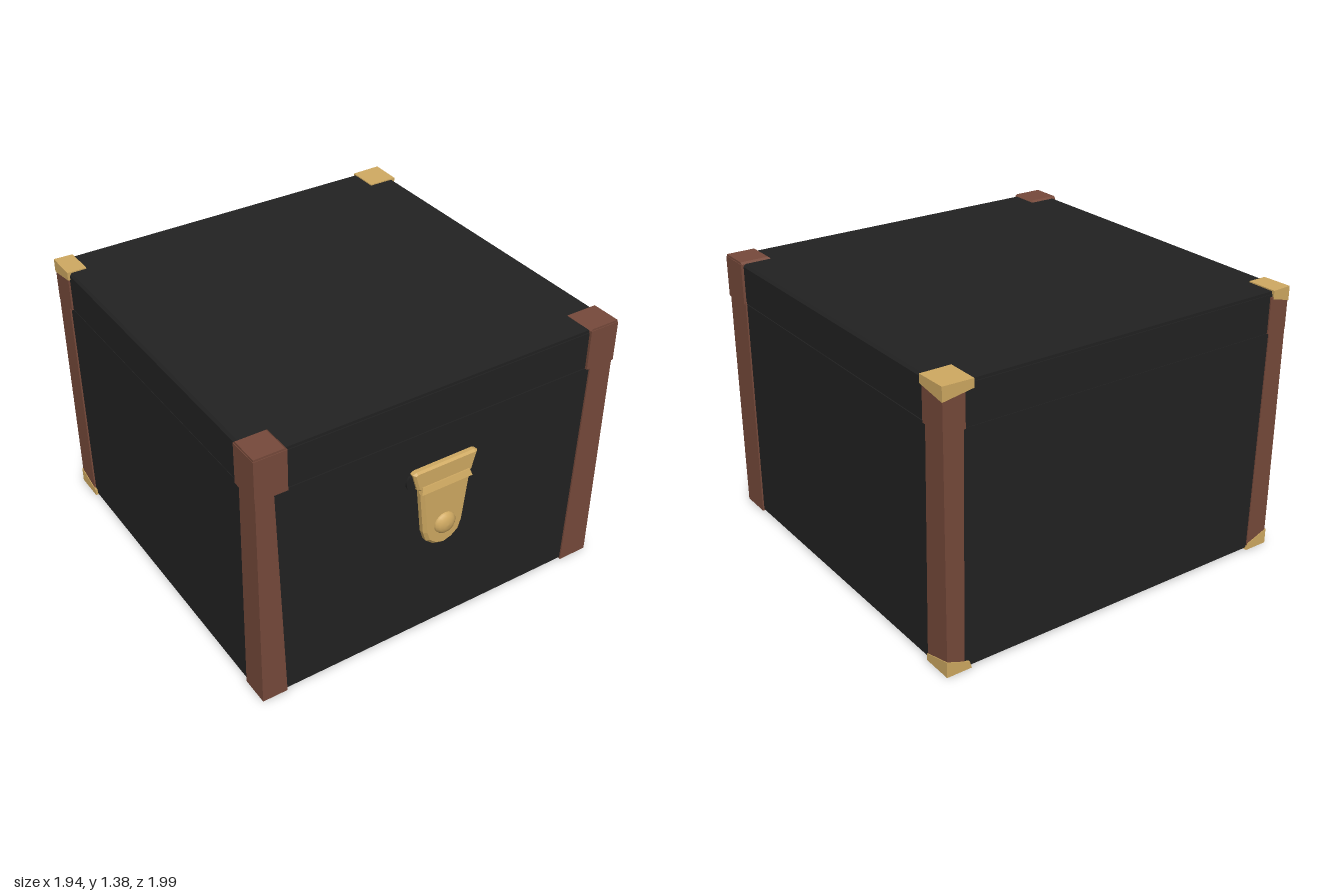
import * as THREE from 'three';

const mat = (name, color) => {
  const m = new THREE.MeshStandardMaterial({ color });
  m.name = name;
  return m;
};

export function createModel() {
  const root = new THREE.Group();
  root.name = 'trunk';
  const black = mat('black covering', 0x222222);
  const brown = mat('brown leather', 0x774a3b);
  const brass = mat('brass', 0xd0aa62);

  const add = (name, geometry, material, parent = root) => {
    const mesh = new THREE.Mesh(geometry, material);
    mesh.name = name;
    parent.add(mesh);
    return mesh;
  };

  // Box whose corners are moved by a rule(v) working on -1 / +1 coordinates
  const ruledBox = (rule) => {
    const g = new THREE.BoxGeometry(2, 2, 2);
    const p = g.attributes.position;
    const v = new THREE.Vector3();
    for (let i = 0; i < p.count; i++) {
      v.fromBufferAttribute(p, i);
      p.setXYZ(i, ...rule(v.x, v.y, v.z));
    }
    g.computeVertexNormals();
    return g;
  };

  // Case: lower body, recessed seam and lid
  const slab = (y0, y1, x0, x1, zf, zb) => ruledBox((x, y, z) =>
    [x * (y < 0 ? x0 : x1), y < 0 ? y0 : y1, z > 0 ? zf : -zb]);
  add('body', slab(0.01, 1.168, 0.955, 0.955, 0.93, 0.982), black);
  add('seam', slab(1.16, 1.18, 0.95, 0.95, 0.926, 0.979), black);
  add('lid', slab(1.172, 1.362, 0.955, 0.955, 0.93, 0.982), black);
  add('lidTop', slab(1.362, 1.376, 0.955, 0.945, 0.926, 0.978), black);

  // Corner block: outer faces at ox, oz; widths [bottom, top] run inward.
  // lift moves the inner edges of the chosen end up or down.
  const corner = (sx, sz, out, y0, y1, wx, wz, liftLow = 0, liftHigh = 0) => ruledBox((x, y, z) => {
    const k = y < 0 ? 0 : 1;
    const ox = sx * (0.957 + out), oz = sz > 0 ? 0.932 + out : -(0.982 + out);
    const innerX = x !== sx, innerZ = z !== sz;
    const lift = innerX || innerZ ? (k ? liftHigh : liftLow) : 0;
    return [innerX ? ox - sx * wx[k] : ox, (k ? y1 : y0) + lift, innerZ ? oz - sz * wz[k] : oz];
  });

  // Edge strip widths at each corner [bottom, top], along x and z
  const corners = [
    { name: 'frontRight', sx: -1, sz: 1, wx: [0.13, 0.09], wz: [0.15, 0.13], cap: [0.16, 0.16] },
    { name: 'frontLeft', sx: 1, sz: 1, wx: [0.16, 0.13], wz: [0.165, 0.165], cap: [0.16, 0.165] },
    { name: 'backRight', sx: -1, sz: -1, wx: [0.12, 0.1], wz: [0.14, 0.12], cap: [0.1, 0.16] },
    { name: 'backLeft', sx: 1, sz: -1, wx: [0.09, 0.1], wz: [0.155, 0.13], cap: [0.155, 0.165] },
  ];
  for (const { name, sx, sz, wx, wz, cap } of corners) {
    const g = new THREE.Group();
    g.name = name + 'Corner';
    root.add(g);
    const [cx, cz] = cap;
    add('edgeStrip', corner(sx, sz, 0.006, 0.002, 1.18, wx, wz), brown, g);
    if (sz > 0) {
      add('cap', corner(sx, sz, 0.011, 1.168, 1.375, [cx, cx], [cz, cz]), brown, g);
      add('capTop', corner(sx, sz, 0.008, 1.375, 1.385, [cx, cx - 0.012], [cz, cz - 0.012]), brown, g);
    } else {
      // Back corners carry brass plates above and below the leather
      add('cap', corner(sx, sz, 0.007, 1.168, 1.35, [0.11, 0.11], [0.15, 0.15]), brown, g);
      add('brassTop', corner(sx, sz, 0.01, 1.315, 1.385, [cx, cx], [cz, cz], 0.025, -0.003), brass, g);
      add('brassFoot', corner(sx, sz, 0.01, 0, 0.08, [0.13, 0.12], [0.16, 0.16], 0, -0.045), brass, g);
    }
  }

  // Latch
  const latch = new THREE.Group();
  latch.name = 'latch';
  root.add(latch);
  const plate = (points, depth, bevel) => {
    const g = new THREE.ExtrudeGeometry(new THREE.Shape(points.map(([x, y]) => new THREE.Vector2(x, y))), {
      depth, bevelEnabled: true, bevelThickness: bevel, bevelSize: bevel, bevelOffset: -bevel, bevelSegments: 1,
    });
    return g;
  };
  const mirrored = (half) => [...half, ...half.slice().reverse().filter(([x]) => x > 0).map(([x, y]) => [-x, y])];

  add('tongue', plate(mirrored([[0, 0.515], [0.05, 0.53], [0.092, 0.565], [0.11, 0.62], [0.138, 0.87]]),
    0.025, 0.015), brass, latch).position.z = 0.93;
  add('hinge', plate(mirrored([[0.115, 0.86], [0.15, 0.88], [0.178, 0.975], [0.16, 0.985]]),
    0.02, 0.01), brass, latch).position.z = 0.93;
  add('hingeLip', ruledBox((x, y, z) =>
    [x * (y > 0 ? 0.13 : 0.14), y > 0 ? 0.895 : 0.862, z < 0 ? 0.95 : y > 0 ? 0.966 : 0.976]), brass, latch);

  // Dark ears at both ends of the hinge
  for (const s of [-1, 1]) {
    const ear = add('hingeEar', new THREE.CylinderGeometry(0.03, 0.03, 0.012, 10), black, latch);
    ear.rotation.x = Math.PI / 2;
    ear.scale.set(1, 1, 1.4);
    ear.position.set(s * 0.172, 0.925, 0.934);
  }

  // Round knob, domed profile turned towards the front
  const dome = [[0.058, 0], [0.056, 0.01], [0.042, 0.022], [0.022, 0.029], [0, 0.031]];
  const knob = add('knob', new THREE.LatheGeometry(dome.map(([r, h]) => new THREE.Vector2(r, h)), 20), brass, latch);
  knob.rotation.x = Math.PI / 2;
  knob.position.set(0, 0.645, 0.969);

  return root;
}
